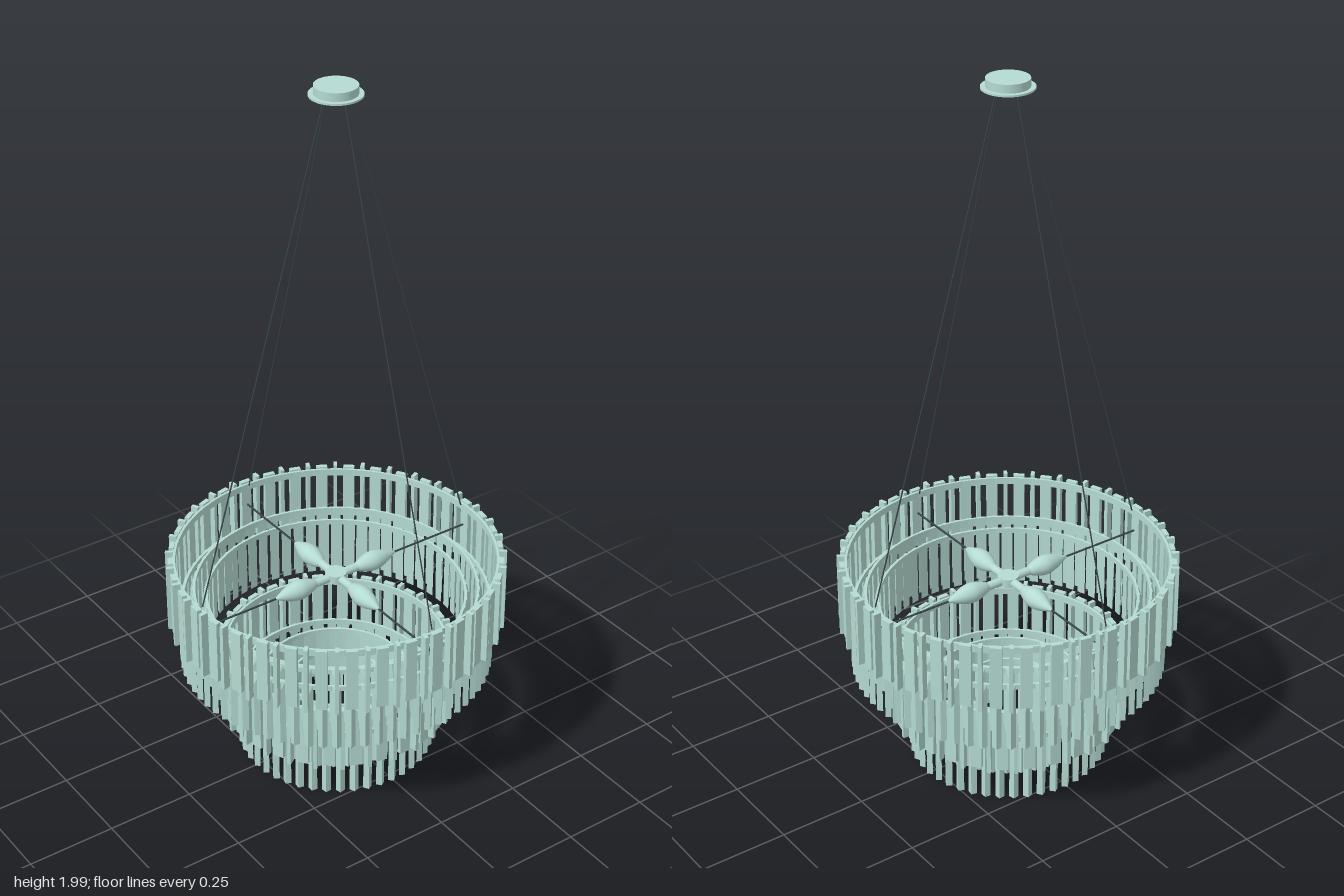
import * as THREE from 'three';
import { mergeGeometries } from 'three/addons/utils/BufferGeometryUtils.js';

const COLOR = 0xb5dbd3;
const flat = new THREE.MeshStandardMaterial({ color: COLOR, flatShading: true });
const smooth = new THREE.MeshStandardMaterial({ color: COLOR });
const dark = new THREE.MeshStandardMaterial({ color: 0x39464a });

function add(parent, name, geometry, material) {
  const mesh = new THREE.Mesh(geometry, material);
  mesh.name = name;
  parent.add(mesh);
  return mesh;
}

// copies of a piece around the y axis; the piece faces +z
function around(piece, count, offset = 0) {
  const list = [];
  for (let i = 0; i < count; i++) {
    list.push(piece.clone().rotateY(((i + offset) / count) * Math.PI * 2));
  }
  return mergeGeometries(list);
}

// flat metal hoop with a rectangular section
function hoop(r, top, height) {
  const w = 0.0035, b = top - height;
  const section = [[r - w, b], [r + w, b], [r + w, top], [r - w, top], [r - w, b]];
  return new THREE.LatheGeometry(section.map((p) => new THREE.Vector2(...p)), 96);
}

// three-sided glass rod, its outer edge cut lower than its back at the top
function prism(r, bottom, top) {
  const h = top - bottom;
  const g = new THREE.CylinderGeometry(1, 1, h, 3).toNonIndexed();
  g.scale(0.0145, 1, 0.0075);
  const p = g.attributes.position;
  for (let i = 0; i < p.count; i++) {
    if (p.getY(i) > 0 && p.getZ(i) > 0.005) p.setY(i, h / 2 - 0.03);
  }
  return g.translate(0, bottom + h / 2, r + 0.006);
}

// rectangular glass bar with its back on radius r
function bar(r, width, depth, bottom, top) {
  return new THREE.BoxGeometry(width, top - bottom, depth)
    .translate(0, (top + bottom) / 2, r + depth / 2);
}

// straight cable between two points
function cable(a, b, radius) {
  return new THREE.TubeGeometry(new THREE.LineCurve3(a, b), 1, radius, 6);
}

export function createModel() {
  const model = new THREE.Group();
  model.name = 'chandelier';

  // ceiling canopy with its flange
  const canopy = new THREE.CylinderGeometry(0.057, 0.057, 0.025, 48).translate(0, 1.9875, 0);
  const flange = new THREE.CylinderGeometry(0.07, 0.07, 0.005, 48).translate(0, 1.975, 0);
  add(model, 'canopy', canopy, smooth);
  add(model, 'canopyFlange', flange, smooth);

  // four suspension cables and the cross rods that carry the lamps
  const V = (x, y, z) => new THREE.Vector3(x, y, z);
  add(model, 'cables', around(cable(V(0, 1.975, 0.035), V(0, 0.62, 0.435), 0.002), 4), dark);
  add(model, 'crossRods', around(cable(V(0, 0.55, 0), V(0, 0.55, 0.445), 0.003), 4), dark);

  // tiers of alternating wide and narrow bars
  const barTiers = [
    { r: 0.446, pairs: 36, bottom: 0.43, top: 0.63 },
    { r: 0.312, pairs: 28, bottom: 0.135, top: 0.335 },
  ];
  for (const { r, pairs, bottom, top } of barTiers) {
    const tier = new THREE.Group();
    tier.name = 'barTier';
    add(tier, 'hoop', hoop(r, top - 0.01, 0.02), flat);
    add(tier, 'wideBars', around(bar(r + 0.003, 0.032, 0.014, bottom + 0.008, top - 0.005), pairs), flat);
    add(tier, 'narrowBars', around(bar(r + 0.003, 0.011, 0.022, bottom, top), pairs, 0.5), flat);
    model.add(tier);
  }

  // tiers of three-sided rods
  const prismTiers = [
    { r: 0.426, count: 72, bottom: 0.29, top: 0.49 },
    { r: 0.394, count: 66, bottom: 0.32, top: 0.52 },
    { r: 0.36, count: 60, bottom: 0.32, top: 0.5 },
    { r: 0.268, count: 44, bottom: 0.01, top: 0.21 },
    { r: 0.208, count: 34, bottom: 0.05, top: 0.22 },
    { r: 0.13, count: 14, bottom: 0.05, top: 0.2 },
  ];
  for (const { r, count, bottom, top } of prismTiers) {
    const tier = new THREE.Group();
    tier.name = 'prismTier';
    add(tier, 'hoop', hoop(r, top, 0.015), flat);
    add(tier, 'rods', around(prism(r, bottom, top), count), flat);
    model.add(tier);
  }

  // central hub with four candle bulbs lying outwards
  add(model, 'hub', new THREE.CylinderGeometry(0.03, 0.03, 0.025, 32).translate(0, 0.55, 0), smooth);
  const socket = new THREE.CylinderGeometry(0.012, 0.012, 0.06, 20)
    .rotateX(Math.PI / 2).translate(0, 0.55, 0.05);
  add(model, 'sockets', around(socket, 4), smooth);
  const profile = new THREE.SplineCurve([
    [0.012, 0.07], [0.02, 0.088], [0.028, 0.12], [0.024, 0.15], [0.012, 0.182], [0, 0.206],
  ].map((p) => new THREE.Vector2(...p))).getPoints(24);
  profile[profile.length - 1].x = 0;
  const bulb = new THREE.LatheGeometry(profile, 24).rotateX(Math.PI / 2).translate(0, 0.55, 0);
  add(model, 'bulbs', around(bulb, 4), smooth);

  return model;
}
